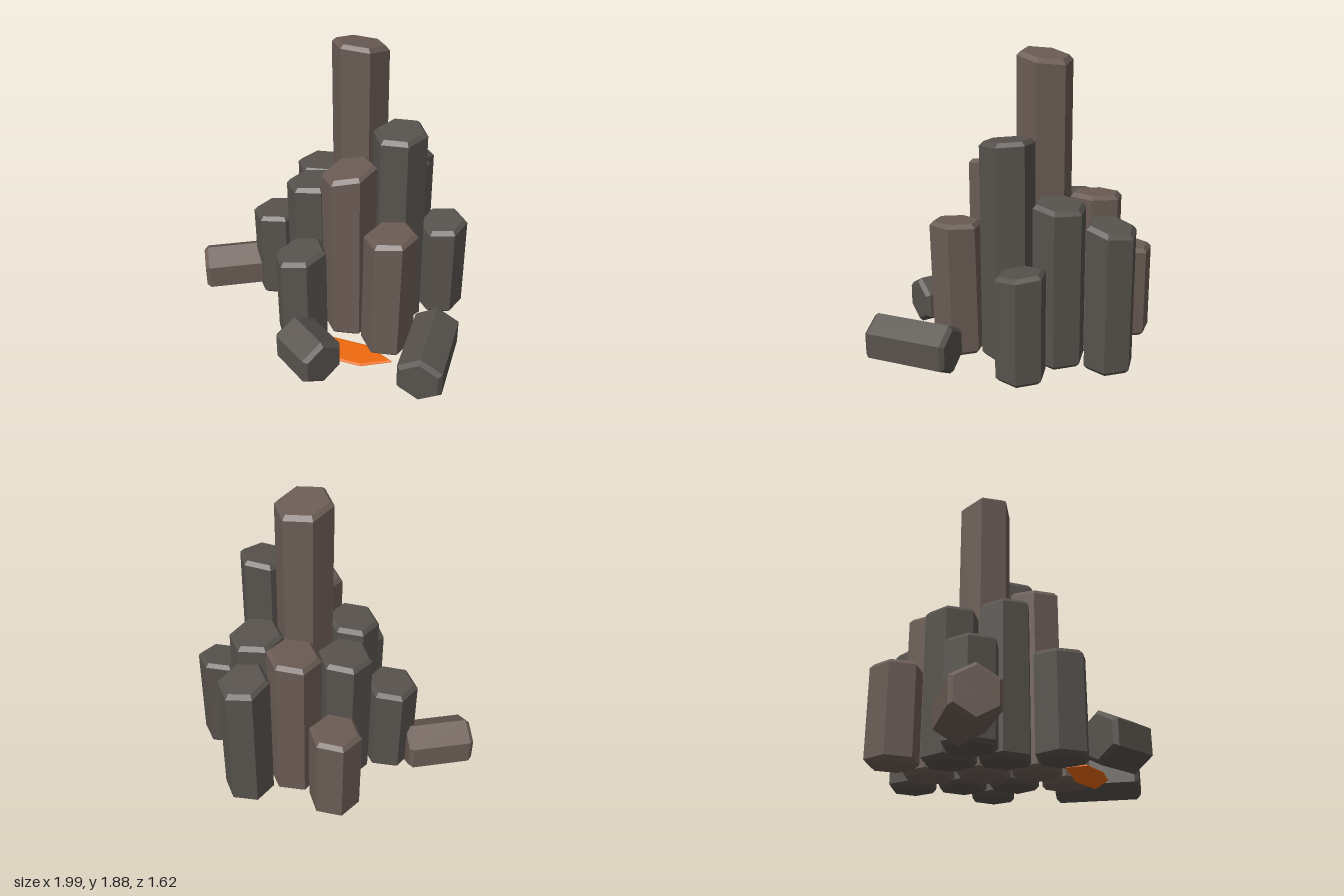
import * as THREE from 'three';

const BEVEL = 0.025;
const BASE = 0.03;

const stone = (color) => new THREE.MeshStandardMaterial({ color, flatShading: true });
const brown = stone(0x6b5c55);
const dark = stone(0x57524d);
const glow = stone(0xf06a10);

// Six-sided prism with bevelled ends, standing on its base, one corner facing +z
function prism(radius, height) {
  const profile = [
    [0, 0], [radius - BEVEL, 0], [radius, BEVEL],
    [radius, height - BEVEL], [radius - BEVEL, height], [0, height],
  ].map(([r, y]) => new THREE.Vector2(r, y));
  return new THREE.LatheGeometry(profile, 6);
}

// Upright column whose top is cut at a slope and which may lean a little
function column({ x, z, h, r = 0.16, roll = 0, sx = 0, sz = 0, lean = 0, mat = dark }) {
  const height = h - BASE;
  const geo = prism(r, height).rotateY(roll);
  const p = geo.attributes.position;
  for (let i = 0; i < p.count; i++) {
    if (p.getY(i) < height / 2) continue;
    p.setY(i, p.getY(i) + sx * p.getX(i) + sz * p.getZ(i));
    p.setX(i, p.getX(i) + lean);
  }
  geo.computeVertexNormals();
  const mesh = new THREE.Mesh(geo, mat);
  mesh.position.set(x, BASE, z);
  return mesh;
}

// Broken column piece lying on the ground along the direction (dx, dz)
function fallenColumn({ x, z, dx, dz, length, mat = dark }) {
  const geo = prism(0.157, length).translate(0, -length / 2, 0).rotateX(-Math.PI / 2);
  const mesh = new THREE.Mesh(geo, mat);
  mesh.rotation.y = Math.atan2(dx, dz);
  mesh.position.set(x, 0.162, z);
  return mesh;
}

export function createModel() {
  const model = new THREE.Group();
  model.name = 'basaltColumns';

  // Standing columns, from the back row to the front
  const columns = [
    { x: -0.04, z: -0.66, h: 0.925, sz: 0.18, roll: 0.04, r: 0.155 },
    { x: -0.52, z: -0.40, h: 0.63, sx: 0.04, roll: -0.06, mat: brown },
    { x: -0.20, z: -0.40, h: 1.04, sx: 0.08, sz: -0.04, roll: 0.03, r: 0.165, mat: brown },
    { x: 0.11, z: -0.39, h: 1.03, sz: 0.1, roll: 0.05, r: 0.165 },
    { x: 0.43, z: -0.39, h: 0.69, sz: -0.13, roll: 0.08, r: 0.155 },
    { x: -0.36, z: -0.12, h: 0.955, sx: 0.06, roll: -0.06, r: 0.165 },
    { x: -0.04, z: -0.12, h: 1.86, sz: 0.18, roll: -0.04, r: 0.172, mat: brown },
    { x: 0.27, z: -0.12, h: 1.39, sx: 0.02, sz: -0.09, roll: -0.12, r: 0.165 },
    { x: -0.52, z: 0.15, h: 0.65, sx: 0.08, roll: 0.02, r: 0.165 },
    { x: -0.20, z: 0.15, h: 0.995, sx: 0.1, roll: 0.03, r: 0.163 },
    { x: 0.11, z: 0.16, h: 1.195, sx: 0.18, sz: -0.14, roll: 0.04, r: 0.167, mat: brown },
    { x: 0.42, z: 0.16, h: 0.875, sx: 0.08, sz: -0.04, roll: 0.03, r: 0.163, lean: 0.015, mat: brown },
    { x: -0.05, z: 0.43, h: 0.675, sx: 0.14, sz: -0.12, roll: -0.08, r: 0.163 },
  ];
  columns.forEach((spec, i) => {
    const mesh = column(spec);
    mesh.name = `standingColumn${i + 1}`;
    model.add(mesh);
  });

  // Fallen pieces around the foot
  const fallen = [
    { x: -0.78, z: 0.33, dx: 0.64, dz: -0.77, length: 0.42, mat: brown },
    { x: 0.765, z: 0.19, dx: 0.4, dz: 0.916, length: 0.53 },
    { x: 0.19, z: 0.64, dx: 0.97, dz: 0.22, length: 0.33 },
  ];
  fallen.forEach((spec, i) => {
    const mesh = fallenColumn(spec);
    mesh.name = `fallenColumn${i + 1}`;
    model.add(mesh);
  });

  // Thin glowing patch on the ground (shape drawn in x and -z)
  const outline = [[0.07, 0.39], [0.1, 0.49], [0.27, 0.49], [0.43, 0.43], [0.55, 0.29], [0.36, 0.28]];
  const shape = new THREE.Shape(outline.map(([x, z]) => new THREE.Vector2(x, -z)));
  const patchGeo = new THREE.ExtrudeGeometry(shape, {
    depth: 0.004, bevelEnabled: true, bevelSize: 0.012, bevelThickness: 0.006, bevelSegments: 1,
  }).rotateX(-Math.PI / 2);
  const patch = new THREE.Mesh(patchGeo, glow);
  patch.name = 'glowingPatch';
  patch.position.y = 0.028;
  model.add(patch);

  return model;
}
